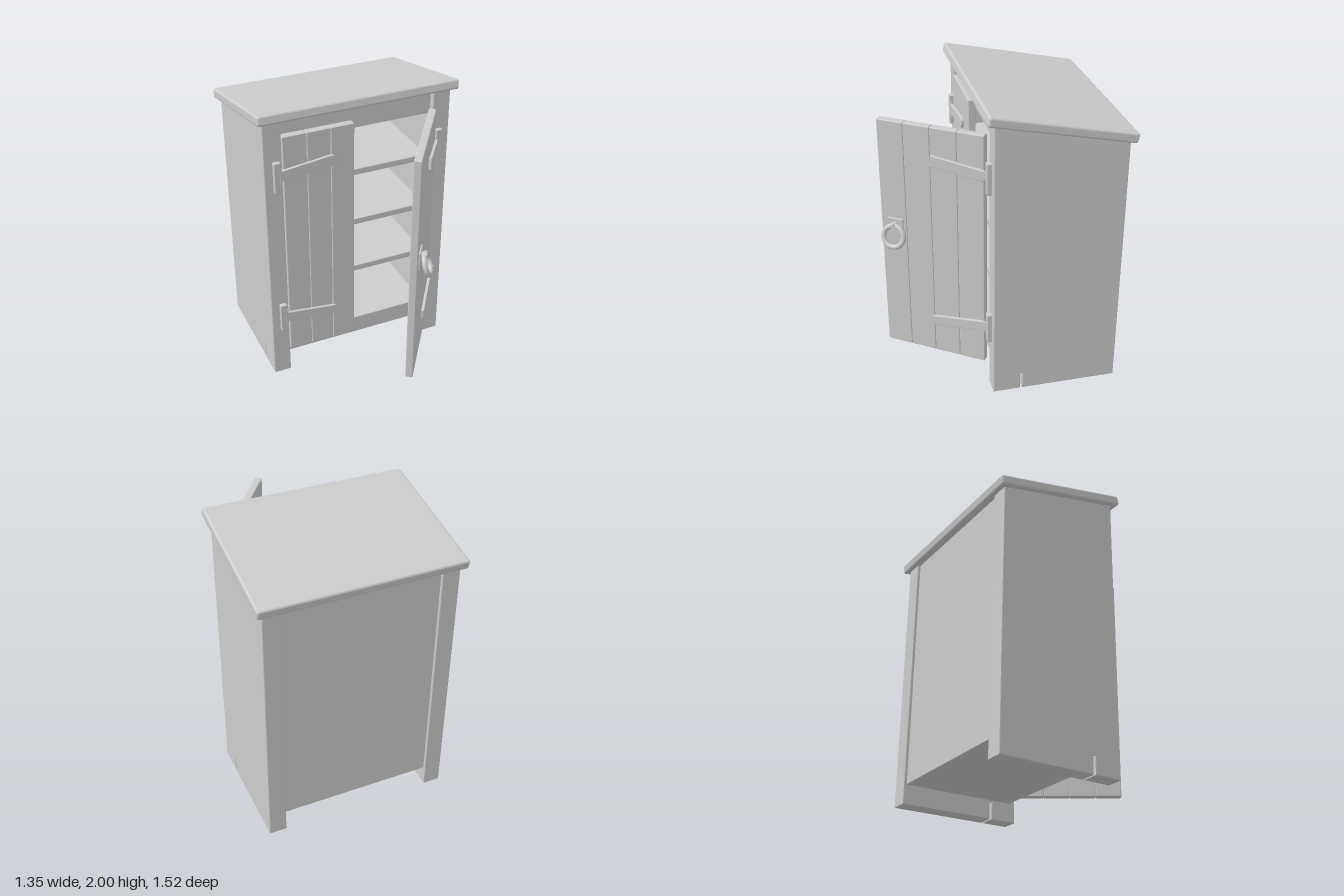
import * as THREE from 'three';
import { RoundedBoxGeometry } from 'three/addons/geometries/RoundedBoxGeometry.js';

export function createModel() {
  const model = new THREE.Group();
  model.name = 'cabinet';
  const grey = new THREE.MeshStandardMaterial({ color: 0xcccccc });
  grey.name = 'plain grey';

  const add = (parent, name, geometry, x = 0, y = 0, z = 0) => {
    const mesh = new THREE.Mesh(geometry, grey);
    mesh.name = name;
    mesh.position.set(x, y, z);
    parent.add(mesh);
    return mesh;
  };
  // Softened box given by its minimum and maximum corners
  const block = (parent, name, [x0, y0, z0], [x1, y1, z1], r = 0.006) =>
    add(parent, name, new RoundedBoxGeometry(x1 - x0, y1 - y0, z1 - z0, 2, r),
      (x0 + x1) / 2, (y0 + y1) / 2, (z0 + z1) / 2);

  // Side walls: sloped top, small slot in the foot
  const bevel = 0.006;
  const side = new THREE.Shape([
    [0.13, 0], [0.13, 1.93], [-0.71, 1.75], [-0.71, 0],
    [-0.065, 0], [-0.065, 0.12], [-0.052, 0.12], [-0.052, 0],
  ].map(([z, y]) => new THREE.Vector2(z, y)));
  for (const s of [-1, 1]) {
    const geometry = new THREE.ExtrudeGeometry(side, {
      depth: 0.12 - 2 * bevel, bevelThickness: bevel, bevelSize: bevel, bevelOffset: -bevel, bevelSegments: 2,
    });
    geometry.rotateY(-Math.PI / 2).translate(0.06 - bevel, 0, 0);
    add(model, s > 0 ? 'leftWall' : 'rightWall', geometry, s * 0.577);
  }

  // Sloping roof board
  const roof = add(model, 'roof', new RoundedBoxGeometry(1.35, 0.065, 0.94, 3, 0.015), 0, 1.869, -0.2875);
  roof.rotation.x = -0.21;

  // Carcass: back panel, rails, floor and shelves
  block(model, 'backPanel', [-0.53, 0.13, -0.69], [0.53, 1.77, -0.65]);
  block(model, 'topRail', [-0.53, 1.76, 0.04], [0.53, 1.91, 0.09]);
  block(model, 'floor', [-0.53, 0.13, -0.685], [0.53, 0.26, 0.09]);
  for (const y of [0.64, 1.02, 1.4]) block(model, 'shelf', [-0.53, y, -0.67], [0.53, y + 0.045, 0.06]);

  // Strap outline: runs from the hinge, rising slightly to a rounded tip
  const strapGeometry = (dir, rise) => {
    const shape = new THREE.Shape();
    shape.moveTo(-0.025, -0.036);
    shape.lineTo(0.32, -0.036);
    shape.quadraticCurveTo(0.35, -0.034, 0.35, 0);
    shape.quadraticCurveTo(0.35, 0.034, 0.32, 0.036);
    shape.lineTo(-0.025, 0.036);
    const g = new THREE.ExtrudeGeometry(shape, {
      depth: 0.012, bevelThickness: 0.004, bevelSize: 0.004, bevelOffset: -0.004, bevelSegments: 2,
    });
    g.rotateZ(rise * 0.12);
    return dir > 0 ? g : g.rotateZ(-rise * 0.24).translate(-0.325, rise * 0.039, 0);
  };

  // Door made of planks, hinged at local x = 0, outer face at z = 0
  const door = (name, dir, planks, width) => {
    const group = new THREE.Group();
    group.name = name;
    for (let i = 0; i < planks; i++) {
      const a = dir * i * width, b = dir * (i + 1) * width;
      block(group, 'plank', [Math.min(a, b), 0.18, -0.05], [Math.max(a, b), 1.82, 0], 0.007);
    }
    for (const [y, rise] of [[0.475, -1], [1.565, 1]]) {
      add(group, 'hingeStrap', strapGeometry(dir, rise), 0, y, 0.004);
    }
    model.add(group);
    return group;
  };

  const closedDoor = door('rightDoor', 1, 3, 0.16);
  closedDoor.position.set(-0.515, 0, 0.138);
  const openDoor = door('leftDoor', -1, 4, 0.1775);
  openDoor.position.set(0.525, 0, 0.165);
  openDoor.rotation.y = THREE.MathUtils.degToRad(55);

  // Hinge plates and knuckles on the frame
  for (const s of [-1, 1]) {
    for (const y of [0.475, 1.555]) {
      add(model, 'hingePlate', new RoundedBoxGeometry(0.045, 0.21, 0.035, 2, 0.005), s * 0.558, y, 0.1425);
      add(model, 'hingeKnuckle', new THREE.CylinderGeometry(0.013, 0.013, 0.11, 16), s * 0.54, y, 0.148);
    }
  }

  // Ring pull near the free edge of the open door
  const handle = new THREE.Group();
  handle.name = 'handle';
  handle.position.set(-0.61, 0, 0);
  openDoor.add(handle);
  block(handle, 'handlePlate', [-0.055, 1.025, -0.004], [0.055, 1.15, 0.01], 0.004);
  const stud = add(handle, 'handleStud', new THREE.CylinderGeometry(0.016, 0.018, 0.045, 16), 0, 1.11, 0.025);
  stud.rotation.x = Math.PI / 2;
  const ring = add(handle, 'handleRing', new THREE.TorusGeometry(0.07, 0.017, 12, 32), 0.005, 1.04, 0.05);
  ring.rotation.x = -0.3;

  return model;
}
